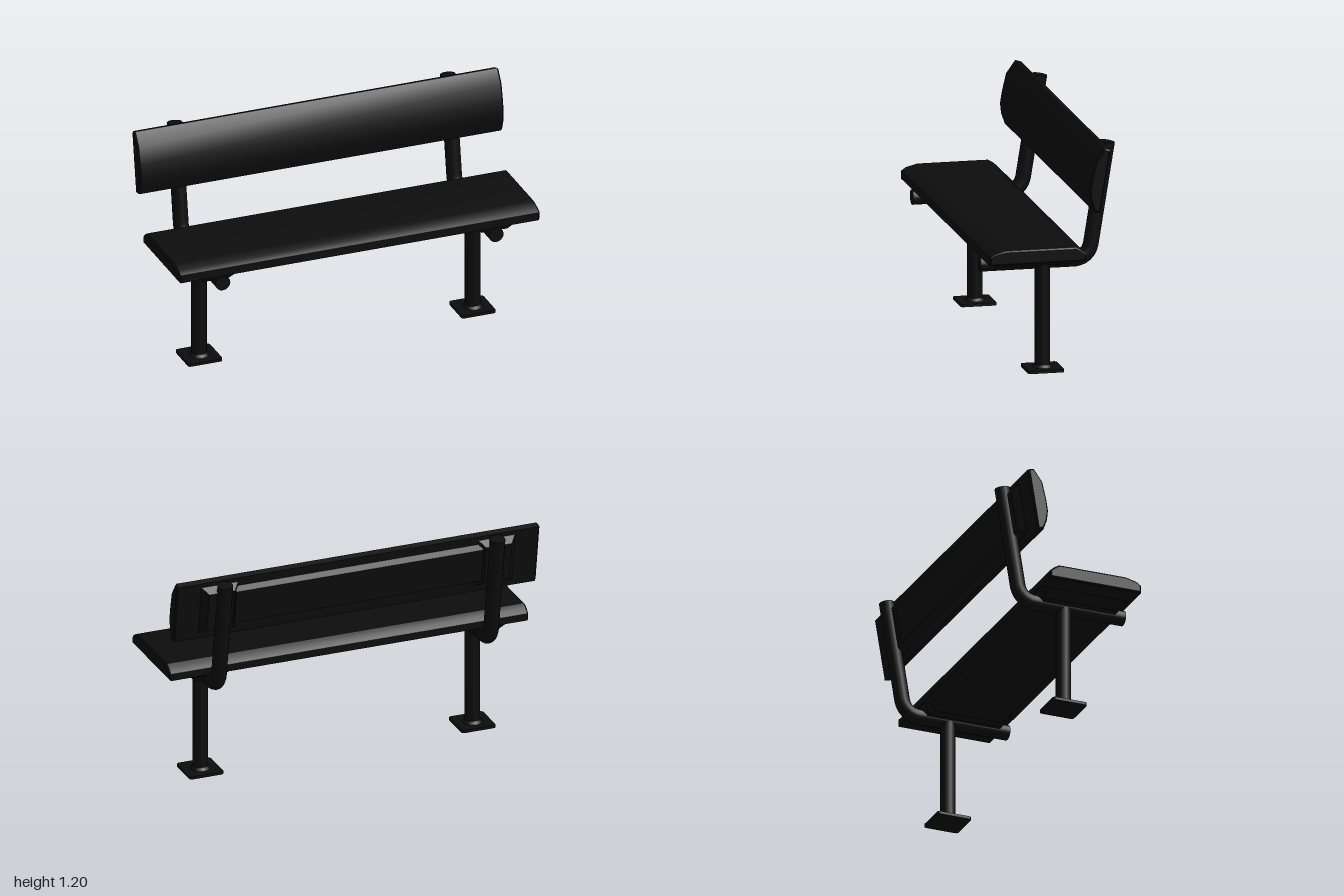
import * as THREE from 'three';
import { toCreasedNormals } from 'three/addons/utils/BufferGeometryUtils.js';

const black = new THREE.MeshStandardMaterial({ color: 0x0d0d0d });

function add(parent, name, geometry, x = 0, y = 0, z = 0) {
  const mesh = new THREE.Mesh(geometry, black);
  mesh.name = name;
  mesh.position.set(x, y, z);
  parent.add(mesh);
  return mesh;
}

// Plank running along x from a [z, y] cross-section
function plank(profile, halfLength) {
  const shape = new THREE.Shape(profile.map(([z, y]) => new THREE.Vector2(-z, y)));
  const bevel = 0.008;
  const g = new THREE.ExtrudeGeometry(shape, {
    depth: 2 * (halfLength - bevel), bevelEnabled: true, bevelSegments: 1,
    bevelThickness: bevel, bevelSize: bevel, bevelOffset: -bevel,
  });
  g.translate(0, 0, -(halfLength - bevel)).rotateY(Math.PI / 2);
  return toCreasedNormals(g, 0.5);
}

// Box whose lower face is pulled in: the slope differs in x and z
function taperedBlock(width, height, depth, insetX, insetZ) {
  const g = new THREE.BoxGeometry(width, height, depth).toNonIndexed();
  const p = g.attributes.position;
  for (let i = 0; i < p.count; i++) {
    if (p.getY(i) > 0) continue;
    p.setX(i, p.getX(i) - Math.sign(p.getX(i)) * insetX);
    p.setZ(i, p.getZ(i) - Math.sign(p.getZ(i)) * insetZ);
  }
  g.computeVertexNormals();
  return g;
}

// Square foot plate with rounded corners
function footPlate(half, r, height) {
  const s = new THREE.Shape();
  const c = half - r;
  s.absarc(c, c, r, 0, Math.PI / 2);
  s.absarc(-c, c, r, Math.PI / 2, Math.PI);
  s.absarc(-c, -c, r, Math.PI, Math.PI * 1.5);
  s.absarc(c, -c, r, Math.PI * 1.5, Math.PI * 2);
  const g = new THREE.ExtrudeGeometry(s, { depth: height, bevelEnabled: false, curveSegments: 4 });
  return g.rotateX(-Math.PI / 2);
}

export function createModel() {
  const bench = new THREE.Group();
  bench.name = 'bench';

  // Seat and backrest planks
  add(bench, 'seat', plank([
    [0.355, 0.612], [0.355, 0.655], [0.33, 0.672], [0.27, 0.687],
    [-0.1, 0.687], [-0.125, 0.672], [-0.15, 0.65], [-0.15, 0.612],
  ].reverse(), 0.99));
  add(bench, 'backrest', plank([
    [-0.245, 1.2], [-0.197, 1.133], [-0.175, 1.04], [-0.165, 0.978],
    [-0.171, 0.924], [-0.19, 0.87], [-0.222, 0.863], [-0.276, 1.19],
  ], 1));

  // Raised panel and mounting blocks under the seat
  add(bench, 'seatPanel', taperedBlock(1.36, 0.03, 0.42, 0, 0.02), 0, 0.6, 0.105);
  // The same set behind the backrest, leaning with it
  const backMount = new THREE.Group();
  backMount.name = 'backMount';
  backMount.position.set(0, 1.032, -0.249);
  backMount.rotation.x = Math.PI / 2 - Math.atan2(0.054, 0.327);
  bench.add(backMount);
  add(backMount, 'backPanel', taperedBlock(1.36, 0.034, 0.23, 0, 0.02), 0, -0.014, 0);

  // Bent support pipe: under the seat, round the corner and up behind the back
  const v = (y, z) => new THREE.Vector3(0, y, z);
  const path = new THREE.CurvePath();
  path.add(new THREE.LineCurve3(v(0.57, 0.355), v(0.57, -0.14)));
  path.add(new THREE.CubicBezierCurve3(v(0.57, -0.14), v(0.57, -0.187), v(0.602, -0.222), v(0.648, -0.2295)));
  path.add(new THREE.LineCurve3(v(0.648, -0.2295), v(1.178, -0.315)));
  const pipe = new THREE.TubeGeometry(path, 60, 0.04, 16);
  const cap = new THREE.CircleGeometry(0.04, 16);

  for (const side of [-1, 1]) {
    const frame = new THREE.Group();
    frame.name = side > 0 ? 'leftFrame' : 'rightFrame';
    frame.position.x = side * 0.75;
    bench.add(frame);

    add(frame, 'supportPipe', pipe);
    add(frame, 'pipeFrontCap', cap, 0, 0.57, 0.355);
    add(frame, 'pipeTopCap', cap, 0, 1.178, -0.315).rotation.x = -Math.PI / 2 - Math.atan2(0.0855, 0.53) + 0.0;

    // Post, weld collar and foot plate
    add(frame, 'post', new THREE.CylinderGeometry(0.04, 0.04, 0.55, 16), 0, 0.285, 0.024);
    add(frame, 'weldCollar', new THREE.CylinderGeometry(0.04, 0.054, 0.016, 16), 0, 0.022, 0.024);
    add(frame, 'footPlate', footPlate(0.094, 0.015, 0.015), 0, 0, 0.024);

    // Mounting blocks between pipe and planks
    add(frame, 'seatBlock', taperedBlock(0.21, 0.048, 0.48, 0.035, 0.04), side * 0.013, 0.589, 0.095);
    add(backMount, 'backBlock', taperedBlock(0.21, 0.042, 0.28, 0.035, 0.03), side * 0.763, -0.017, 0);
  }
  return bench;
}
